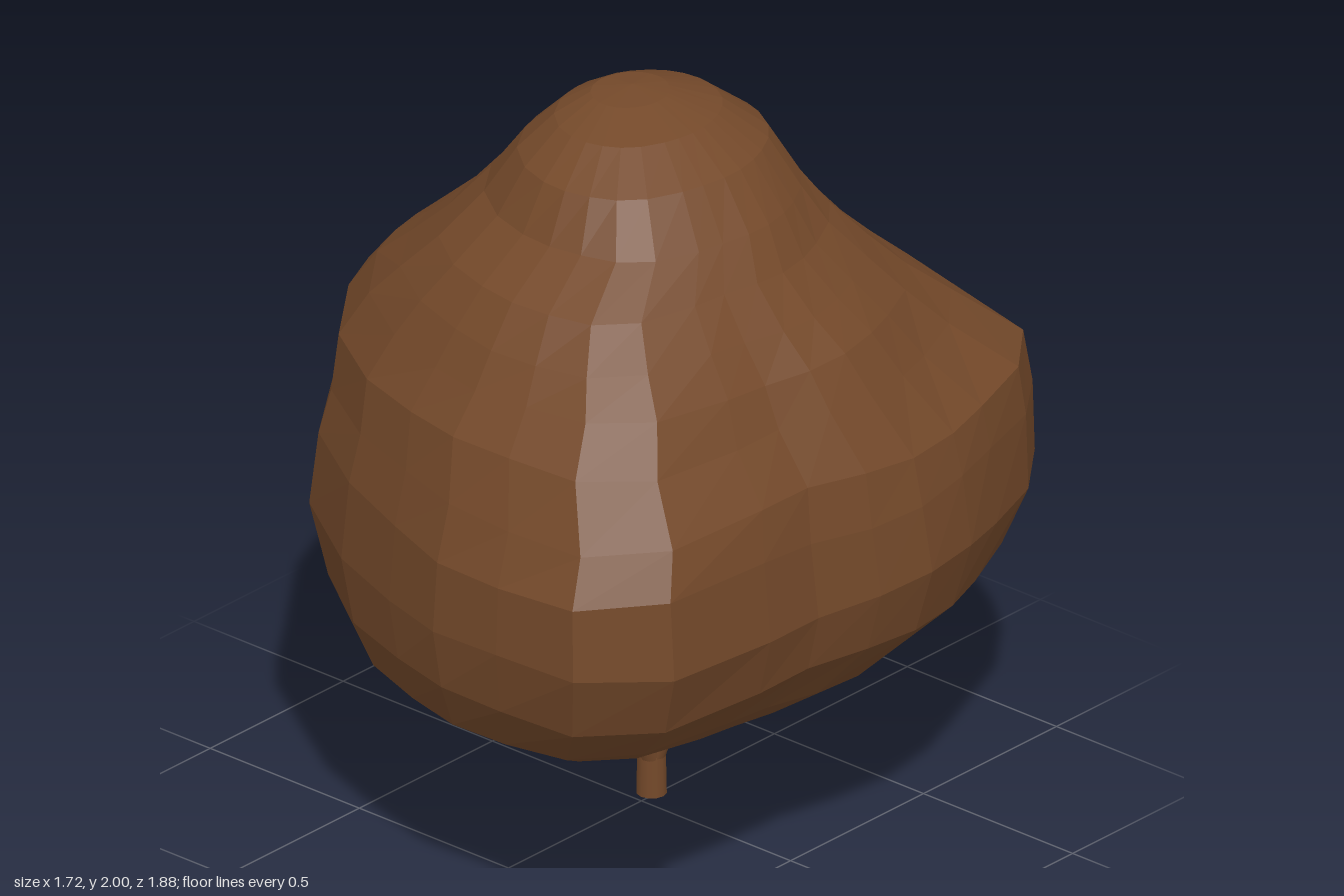
import * as THREE from 'three';

const bark = new THREE.MeshStandardMaterial({ color: 0x74492a });
const leaf = new THREE.MeshStandardMaterial({ color: 0x74492a, flatShading: true });

// Plan outline of the canopy at its widest [x, z], starting at the back
const OUTLINE = [
  [0, -.94], [.17, -.935], [.33, -.92], [.57, -.84], [.7, -.67], [.78, -.46], [.83, -.31], [.86, -.13],
  [.84, .04], [.79, .22], [.79, .4], [.77, .74], [.6, .93], [.35, .94], [.13, .93], [-.08, .86],
  [-.32, .77], [-.57, .61], [-.75, .36], [-.82, .19], [-.86, .04], [-.86, -.13], [-.79, -.47],
  [-.71, -.63], [-.57, -.79], [-.39, -.89], [-.2, -.93],
];

// Canopy levels: y, min x, max x, min z, max z, how closely the ring follows the outline,
// extra bulge at the back left corner, extra bulge at the back right shoulder
const LEVELS = [
  [.44, -.25, .4, -.25, .48, .4, 0, 0],
  [.48, -.48, .56, -.51, .71, .5, 0, 0],
  [.57, -.66, .69, -.72, .85, .65, 0, 0],
  [.7, -.77, .81, -.92, .92, .82, -.02, 0],
  [.87, -.86, .86, -.94, .94, 1, 0, 0],
  [1.07, -.82, .84, -.9, .93, 1, .03, 0],
  [1.2, -.79, .81, -.86, .88, .9, .06, .02],
  [1.35, -.76, .72, -.72, .82, .8, .02, .06],
  [1.46, -.67, .66, -.61, .74, .7, 0, .08],
  [1.55, -.56, .58, -.52, .68, .6, 0, .1],
  [1.65, -.44, .49, -.43, .6, .5, 0, .11],
  [1.75, -.36, .42, -.36, .45, .35, 0, .09],
  [1.87, -.27, .32, -.31, .37, .2, 0, .04],
  [1.95, -.19, .2, -.21, .25, .1, 0, 0],
  [1.99, -.12, .07, -.09, .12, 0, 0, 0],
];

// 1 in the given plan direction, falling off to 0 around it
function near(u, v, du, dv) {
  const d = (u * du + v * dv) / Math.hypot(u, v) / Math.hypot(du, dv);
  return Math.exp((d - 1) * 10);
}

function canopyGeometry() {
  const n = OUTLINE.length, pos = [], idx = [];
  LEVELS.forEach(([y, x0, x1, z0, z1, w, tip, shoulder], j) => {
    OUTLINE.forEach(([px, pz], i) => {
      const u = px / .86, v = pz / .94;
      // blend the outline towards an ellipse, then add the bulges
      const k = (w + (1 - w) / Math.hypot(u, v))
        * (1 + tip * near(u, v, .75, -.8) + shoulder * near(u, v, -.75, -.75));
      const bump = j > 1 ? .012 * w * w * Math.sin(i * 1.1 + j * 1.7) : 0;
      pos.push((x0 + x1) / 2 + u * k * (x1 - x0) / 2, y + bump, (z0 + z1) / 2 + v * k * (z1 - z0) / 2);
    });
  });
  const bottom = pos.length / 3, top = bottom + 1, last = (LEVELS.length - 1) * n;
  pos.push(0, .46, 0, -.03, 2, 0);
  for (let i = 0; i < n; i++) {
    const i2 = (i + 1) % n;
    for (let j = 0; j < LEVELS.length - 1; j++) {
      const a = j * n + i, b = j * n + i2, c = a + n, d = b + n;
      idx.push(a, c, b, b, c, d);
    }
    idx.push(bottom, i, i2, last + i, top, last + i2);
  }
  const g = new THREE.BufferGeometry();
  g.setAttribute('position', new THREE.Float32BufferAttribute(pos, 3));
  g.setIndex(idx);
  g.computeVertexNormals();
  return g;
}

// Tapered round limb between two points
function limb(name, from, to, r0, r1) {
  const a = new THREE.Vector3(...from), b = new THREE.Vector3(...to);
  const dir = b.clone().sub(a);
  const m = new THREE.Mesh(new THREE.CylinderGeometry(r1, r0, dir.length(), 12), bark);
  m.name = name;
  m.position.copy(a).add(b).multiplyScalar(.5);
  m.quaternion.setFromUnitVectors(new THREE.Vector3(0, 1, 0), dir.normalize());
  return m;
}

export function createModel() {
  const model = new THREE.Group();
  model.name = 'tree';

  const canopy = new THREE.Mesh(canopyGeometry(), leaf);
  canopy.name = 'canopy';
  model.add(canopy);

  // Short trunk forking into three branches
  model.add(limb('trunk', [-.015, 0, -.055], [-.015, .15, -.055], .039, .036));
  model.add(limb('frontBranch', [-.012, .11, -.05], [0, .5, .08], .032, .028));
  model.add(limb('leftBranch', [-.01, .11, -.055], [.1, .5, -.12], .032, .026));
  model.add(limb('rightBranch', [-.02, .11, -.055], [-.15, .5, -.11], .032, .026));
  return model;
}
